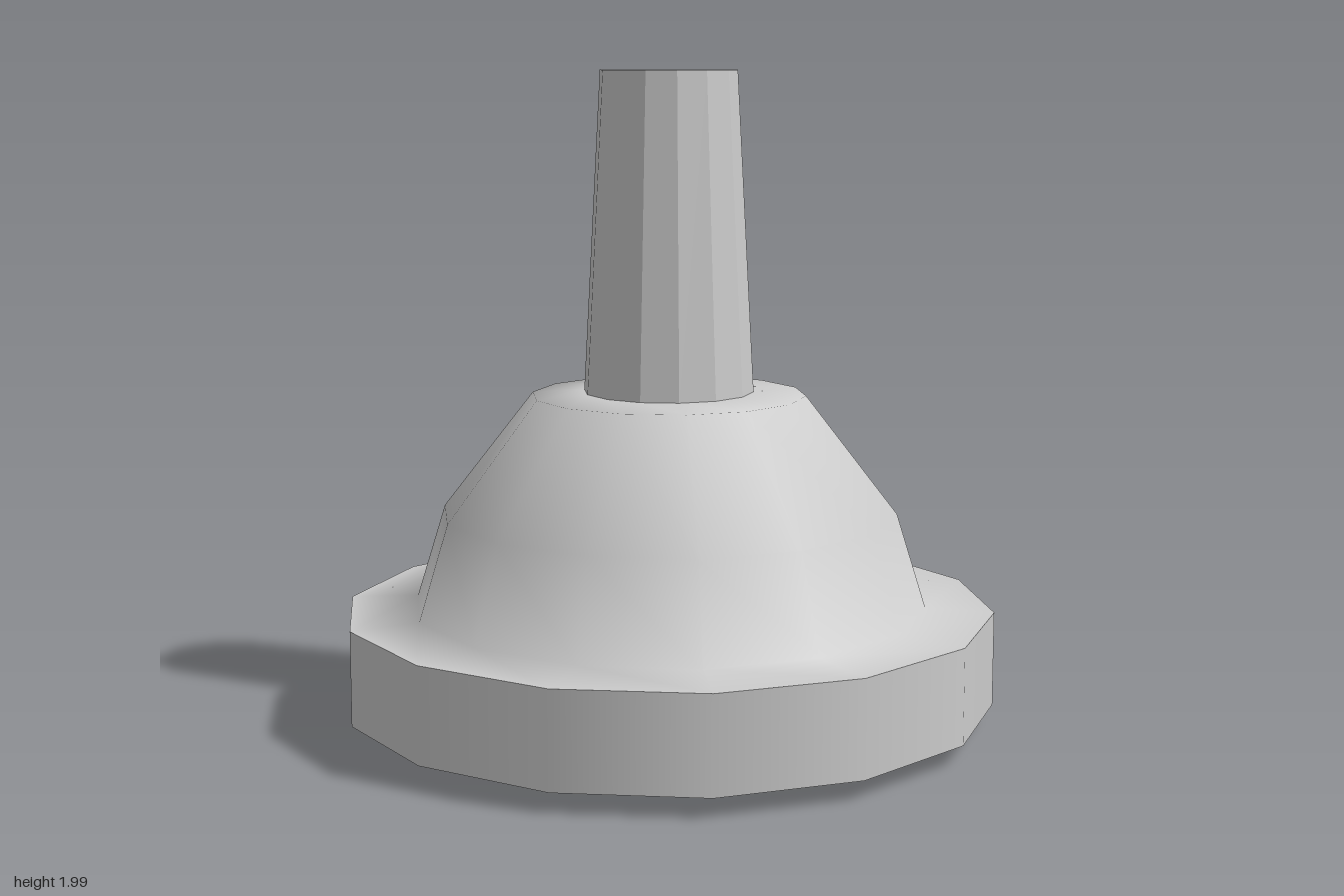
import * as THREE from 'three';

const SIDES = 14;

export function createModel() {
  const group = new THREE.Group();
  const smooth = new THREE.MeshStandardMaterial({ color: 0xcccccc });
  const flat = new THREE.MeshStandardMaterial({ color: 0xcccccc, flatShading: true });

  const add = (name, geometry, material) => {
    const mesh = new THREE.Mesh(geometry, material);
    mesh.name = name;
    group.add(mesh);
  };
  // Each profile runs upwards as [radius, height]; a corner points along +x
  const turn = (name, profile) => add(name, new THREE.LatheGeometry(
    profile.map(([r, y]) => new THREE.Vector2(r, y)), SIDES, Math.PI / 2), smooth);

  // Base disc: bevelled underside and upright rim, with a sharp edge between
  turn('baseUnderside', [[0, 0], [0.72, 0], [1, 0.06]]);
  turn('baseRim', [[1, 0.06], [1, 0.35]]);

  // Bell-shaped body flowing out of the top of the base
  turn('bellBody', [[1, 0.35], [0.79, 0.36], [0.7, 0.65], [0.42, 1.01], [0.26, 1.02]]);

  // Tapered faceted stem with a closed top
  const stem = new THREE.CylinderGeometry(0.208, 0.26, 0.97, SIDES, 1, false, Math.PI / 2);
  stem.translate(0, 1.505, 0);
  add('stem', stem, flat);

  return group;
}
